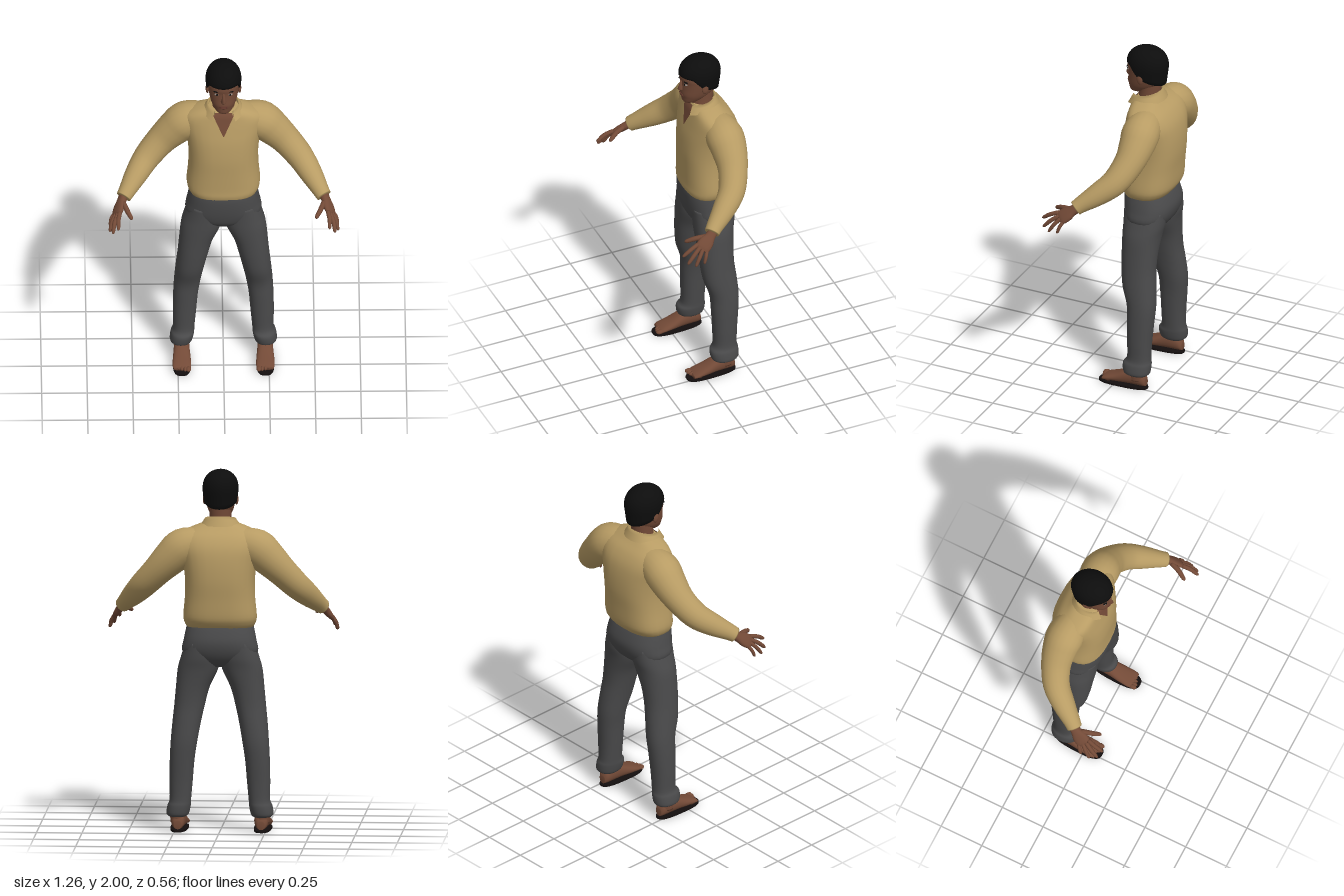
import * as THREE from 'three';

const mat = (name, color, side = THREE.FrontSide) => {
  const m = new THREE.MeshStandardMaterial({ color, side });
  m.name = name;
  return m;
};

// Catmull-Rom resampling of number rows, k steps per span
function smooth(rows, k = 4) {
  const out = [], at = i => rows[Math.min(Math.max(i, 0), rows.length - 1)];
  for (let i = 0; i < rows.length - 1; i++)
    for (let j = 0; j < k; j++) {
      const t = j / k;
      out.push(rows[i].map((b, c) => {
        const a = at(i - 1)[c], d = at(i + 1)[c], e = at(i + 2)[c];
        return b + 0.5 * t * (d - a + t * (2 * a - 5 * b + 4 * d - e + t * (3 * (b - d) + e - a)));
      }));
    }
  out.push(rows[rows.length - 1]);
  return out;
}

// Closed skin over rings of Vector3; s = -1 mirrors in x; winding is made outward
function loft(rings, s = 1, caps = true) {
  const n = rings[0].length, pos = [], idx = [];
  rings.forEach(r => r.forEach(p => pos.push(p.x * s, p.y, p.z)));
  for (let j = 0; j < rings.length - 1; j++)
    for (let i = 0; i < n; i++) {
      const a = j * n + i, b = j * n + (i + 1) % n;
      idx.push(a, b, b + n, a, b + n, a + n);
    }
  if (caps) [0, rings.length - 1].forEach((j, e) => {
    const c = rings[j].reduce((v, p) => v.add(p), new THREE.Vector3()).divideScalar(n);
    const ci = pos.push(c.x * s, c.y, c.z) / 3 - 1;
    for (let i = 0; i < n; i++) {
      const a = j * n + i, b = j * n + (i + 1) % n;
      e ? idx.push(ci, a, b) : idx.push(ci, b, a);
    }
  });
  const v = i => new THREE.Vector3().fromArray(pos, i * 3);
  let vol = 0;
  const mid = rings[0][0].clone();
  mid.x *= s;
  for (let i = 0; i < idx.length; i += 3)
    vol += v(idx[i]).sub(mid).dot(v(idx[i + 1]).sub(mid).cross(v(idx[i + 2]).sub(mid)));
  if (vol < 0) idx.reverse();
  const g = new THREE.BufferGeometry();
  g.setAttribute('position', new THREE.Float32BufferAttribute(pos, 3));
  g.setIndex(idx);
  g.computeVertexNormals();
  return g;
}

const pw = (v, e) => Math.sign(v) * Math.abs(v) ** e;
// Superellipse ring around c with half axes u and v
function ring(c, u, v, n = 2, N = 28) {
  return Array.from({ length: N }, (_, i) => {
    const a = i / N * Math.PI * 2;
    return c.clone().addScaledVector(u, pw(Math.cos(a), 2 / n)).addScaledVector(v, pw(Math.sin(a), 2 / n));
  });
}
const V = (x, y, z) => new THREE.Vector3(x, y, z);
// Horizontal sections: [y, x centre, half width, front z, back z]
const stack = (rows, n, s) => loft(smooth(rows).map(([y, x, w, f, b]) =>
  ring(V(x, y, (f + b) / 2), V(0, 0, (f - b) / 2), V(w, 0, 0), n)), s);
// Round limb through [x, y, z, radius]
function limb(rows, s, N = 20) {
  const r = smooth(rows);
  return loft(r.map((p, i) => {
    const a = r[Math.max(i - 1, 0)], b = r[Math.min(i + 1, r.length - 1)];
    const t = V(b[0] - a[0], b[1] - a[1], b[2] - a[2]).normalize();
    const u = V(0.3, 1, 0).cross(t).normalize();
    return ring(V(p[0], p[1], p[2]), u.clone().multiplyScalar(p[3]), t.cross(u).multiplyScalar(p[3]), 2, N);
  }), s);
}

// Open strip surface from a grid function f(u, v)
function sheet(f, nu, nv) {
  const g = new THREE.PlaneGeometry(1, 1, nu, nv), p = g.attributes.position;
  for (let i = 0; i < p.count; i++) {
    const q = f(p.getX(i) + 0.5, p.getY(i) + 0.5);
    p.setXYZ(i, q.x, q.y, q.z);
  }
  g.computeVertexNormals();
  return g;
}

export function createModel() {
  const root = new THREE.Group();
  root.name = 'man';
  const skin = mat('skin', 0x734a37, THREE.DoubleSide), shirt = mat('shirt cloth', 0xb89c64, THREE.DoubleSide);
  const cloth = mat('trouser cloth', 0x4a4a4b), black = mat('hair black', 0x0d0d0d, THREE.DoubleSide);
  const sole = mat('sole', 0x140f0f), white = mat('eye white', 0x8f8782), lip = mat('lips', 0x5f362b);
  const add = (name, g, m, parent = root) => {
    const o = new THREE.Mesh(g, m);
    o.name = name;
    parent.add(o);
    return o;
  };
  const blob = (name, m, x, y, z, sx, sy, sz, parent) => {
    const g = new THREE.SphereGeometry(1, 14, 10);
    g.scale(sx, sy, sz);
    add(name, g, m, parent).position.set(x, y, z);
  };

  // Shirt body
  const torso = [
    [1.135, 0, 0.183, 0.022, -0.225], [1.16, 0, 0.196, 0.027, -0.245], [1.2, 0, 0.202, 0.026, -0.262],
    [1.3, 0, 0.193, 0.028, -0.272], [1.4, 0, 0.192, 0.03, -0.282], [1.5, 0, 0.205, 0.022, -0.28],
    [1.58, 0, 0.225, 0.006, -0.265], [1.64, 0, 0.222, -0.008, -0.232], [1.68, 0, 0.165, -0.018, -0.19],
    [1.71, 0, 0.085, -0.035, -0.16]];
  const N = 2.5;
  add('shirtBody', stack(torso, N), shirt);

  // Skin in the open neck, lying on the shirt front
  const fine = smooth(torso);
  const frontZ = (x, y) => {
    const i = Math.max(1, fine.findIndex(r => r[0] >= y)), a = fine[i - 1], b = fine[i];
    const t = (y - a[0]) / (b[0] - a[0]), [, , w, f, k] = a.map((q, c) => q + (b[c] - q) * t);
    return (f + k) / 2 + (f - k) / 2 * (1 - Math.min(1, Math.abs(x / w)) ** N) ** (1 / N);
  };
  add('openNeck', sheet((u, v) => {
    const y = 1.565 + v * 0.135, x = (u - 0.5) * 2 * (0.002 + 0.06 * v);
    return V(x, y, frontZ(x, y) + 0.006);
  }, 10, 14), skin);

  // Folded collar, open at the front
  add('collar', sheet((u, v) => {
    const a = 0.62 + u * (Math.PI * 2 - 1.24), front = (1 + Math.cos(a)) / 2;
    const tip = front ** 3, k = v < 0.5 ? 1 + (0.5 - v) * 0.7 : 1 - (v - 0.5) * 0.1;
    const top = 1.75 - 0.035 * front, low = 1.695 - 0.04 * tip;
    const y = v < 0.5 ? low + (top - low) * v * 2 : top - (v - 0.5) * 0.12;
    return V(Math.sin(a) * 0.083 * k, y, -0.085 + Math.cos(a) * (0.076 + 0.01 * front) * k);
  }, 36, 6), shirt);

  // Trouser seat
  add('trouserSeat', stack([
    [0.915, 0, 0.06, -0.04, -0.17], [0.95, 0, 0.16, -0.005, -0.215], [1.0, 0, 0.208, 0.012, -0.243],
    [1.06, 0, 0.2, 0.022, -0.253], [1.12, 0, 0.188, 0.025, -0.238], [1.16, 0, 0.178, 0.02, -0.22]], 2.4), cloth);

  // Neck and head
  add('neck', stack([[1.58, 0, 0.06, -0.03, -0.15], [1.68, 0, 0.062, -0.028, -0.152],
    [1.74, 0, 0.06, -0.035, -0.155], [1.82, 0, 0.062, -0.04, -0.16]], 2), skin);
  add('head', stack([
    [1.718, 0, 0.022, 0.008, -0.04], [1.73, 0, 0.042, 0.022, -0.075], [1.76, 0, 0.062, 0.027, -0.125],
    [1.785, 0, 0.072, 0.032, -0.155], [1.82, 0, 0.08, 0.03, -0.175], [1.86, 0, 0.086, 0.029, -0.183],
    [1.89, 0, 0.087, 0.033, -0.183], [1.93, 0, 0.08, 0.024, -0.175], [1.97, 0, 0.05, -0.02, -0.14]], 2.2), skin);
  add('nose', loft([[1.87, 0.007, 0.036], [1.84, 0.011, 0.043], [1.815, 0.018, 0.052], [1.805, 0.015, 0.043]].map(
    ([y, w, f]) => ring(V(0, y, 0.018), V(0, 0, f - 0.018), V(w, 0, 0), 1.7, 14))), skin);
  blob('upperLip', lip, 0, 1.78, 0.029, 0.025, 0.005, 0.008);
  blob('lowerLip', lip, 0, 1.771, 0.027, 0.021, 0.005, 0.008);

  // Hair cap: hairline high over the forehead, low at the nape
  const hair = [];
  for (let j = 0; j <= 14; j++)
    hair.push(Array.from({ length: 40 }, (_, i) => {
      const a = i / 40 * Math.PI * 2, c = Math.cos(a);
      const low = c > 0.62 ? 1.905 : c > 0.1 ? 1.835 + 0.07 * (c - 0.1) / 0.52 : 1.79 + 0.045 * (c + 1) / 1.1;
      const y = low + (2 - low) * Math.sin(j / 14 * Math.PI / 2);
      const r = y > 1.89 ? Math.max(0.01, 1 - ((y - 1.89) / 0.11) ** 2.4) ** 0.5 : 1 - (1.89 - y) * 1.1;
      return V(Math.sin(a) * 0.099 * r, y, -0.08 + c * 0.12 * r);
    }));
  add('hair', loft(hair), black);

  for (const s of [1, -1]) {
    const side = new THREE.Group();
    side.name = s > 0 ? 'leftSide' : 'rightSide';
    root.add(side);

    // Eye, brow and ear
    blob('eyeWhite', white, s * 0.036, 1.859, 0.018, 0.014, 0.006, 0.009, side);
    blob('iris', black, s * 0.036, 1.859, 0.023, 0.006, 0.006, 0.006, side);
    blob('eyebrow', black, s * 0.037, 1.878, 0.019, 0.019, 0.004, 0.009, side);
    blob('ear', skin, s * 0.088, 1.835, -0.075, 0.01, 0.032, 0.02, side);

    // Sleeve
    add('sleeve', limb([
      [0.1, 1.6, -0.13, 0.085], [0.2, 1.575, -0.138, 0.105], [0.265, 1.52, -0.14, 0.098], [0.34, 1.445, -0.128, 0.083],
      [0.42, 1.36, -0.085, 0.074], [0.48, 1.295, -0.01, 0.063], [0.53, 1.24, 0.065, 0.047], [0.55, 1.218, 0.092, 0.042]], s), shirt, side);

    // Hand: flattened palm with five fingers
    const w = V(0.53, -0.53, -0.66), f = V(0.34, -0.57, 0.74).normalize();
    const n = w.clone().cross(f).normalize();
    const palm = smooth([[-0.015, 0.027, 0.024], [0.02, 0.03, 0.022], [0.055, 0.041, 0.02], [0.09, 0.042, 0.016], [0.108, 0.036, 0.01]]);
    add('palm', loft(palm.map(([d, a, b]) => ring(V(0.553, 1.215, 0.092).addScaledVector(f, d),
      w.clone().multiplyScalar(a), n.clone().multiplyScalar(b), 2.3, 18)), s), skin, side);
    [['thumb', 0.55, 1.205, 0.13, 0.505, 1.17, 0.235, 0.014], ['indexFinger', 0.57, 1.18, 0.185, 0.58, 1.13, 0.28, 0.012],
      ['middleFinger', 0.582, 1.165, 0.178, 0.61, 1.093, 0.262, 0.012], ['ringFinger', 0.593, 1.155, 0.165, 0.628, 1.078, 0.222, 0.011],
      ['littleFinger', 0.598, 1.148, 0.142, 0.628, 1.082, 0.17, 0.01]].forEach(([name, x, y, z, X, Y, Z, r]) =>
      add(name, limb([[x, y, z, r], [(x + X) / 2 + 0.004, (y + Y) / 2 + 0.006, (z + Z) / 2, r],
        [x + (X - x) * 0.88, y + (Y - y) * 0.88, z + (Z - z) * 0.88, r * 0.8], [X, Y, Z, r * 0.3]], s, 10), skin, side));

    // Trouser leg with a loose cuff
    add('trouserLeg', stack([
      [0.085, 0.232, 0.05, -0.065, -0.19], [0.1, 0.232, 0.062, -0.05, -0.203], [0.145, 0.224, 0.064, -0.045, -0.206],
      [0.18, 0.217, 0.059, -0.066, -0.2], [0.28, 0.213, 0.064, -0.066, -0.203], [0.4, 0.207, 0.068, -0.062, -0.213],
      [0.5, 0.197, 0.073, -0.056, -0.219], [0.6, 0.184, 0.078, -0.025, -0.213], [0.7, 0.168, 0.084, -0.012, -0.204],
      [0.8, 0.15, 0.093, -0.006, -0.206], [0.9, 0.122, 0.111, 0, -0.216], [0.97, 0.108, 0.106, 0.002, -0.23],
      [1.05, 0.1, 0.09, 0.005, -0.235]], 2.2, s), cloth, side);

    // Bare foot over a thin sole
    add('ankle', stack([[0.05, 0.232, 0.04, -0.08, -0.175], [0.1, 0.232, 0.042, -0.08, -0.178],
      [0.16, 0.23, 0.043, -0.085, -0.18]], 2, s), skin, side);
    add('foot', loft(smooth([[-0.182, 0.02, 0.06], [-0.165, 0.034, 0.09], [-0.12, 0.041, 0.11], [-0.07, 0.044, 0.1],
      [-0.01, 0.049, 0.07], [0.045, 0.051, 0.048], [0.07, 0.045, 0.036]]).map(([z, a, t]) =>
      ring(V(0.229, (t + 0.016) / 2, z), V(a, 0, 0), V(0, (t - 0.016) / 2, 0), 2.3, 20)), s), skin, side);
    for (let i = 0; i < 5; i++)
      blob('toe', skin, s * (0.193 + i * 0.018), 0.028, 0.072 - i * i * 0.0022, i ? 0.01 : 0.014, 0.012, 0.022, side);
    const outline = new THREE.Shape().setFromPoints(ring(V(0.229, -0.045, 0), V(0.055, 0, 0), V(0, 0.145, 0), 2.8, 36)
      .map(p => new THREE.Vector2(s * (0.229 + (p.x - 0.229) * (0.9 + 0.7 * p.y)), p.y)));
    const g = new THREE.ExtrudeGeometry(outline, { depth: 0.011, bevelEnabled: false });
    g.rotateX(Math.PI / 2).translate(0, 0.011, 0);
    add('sole', g, sole, side);
  }
  return root;
}
